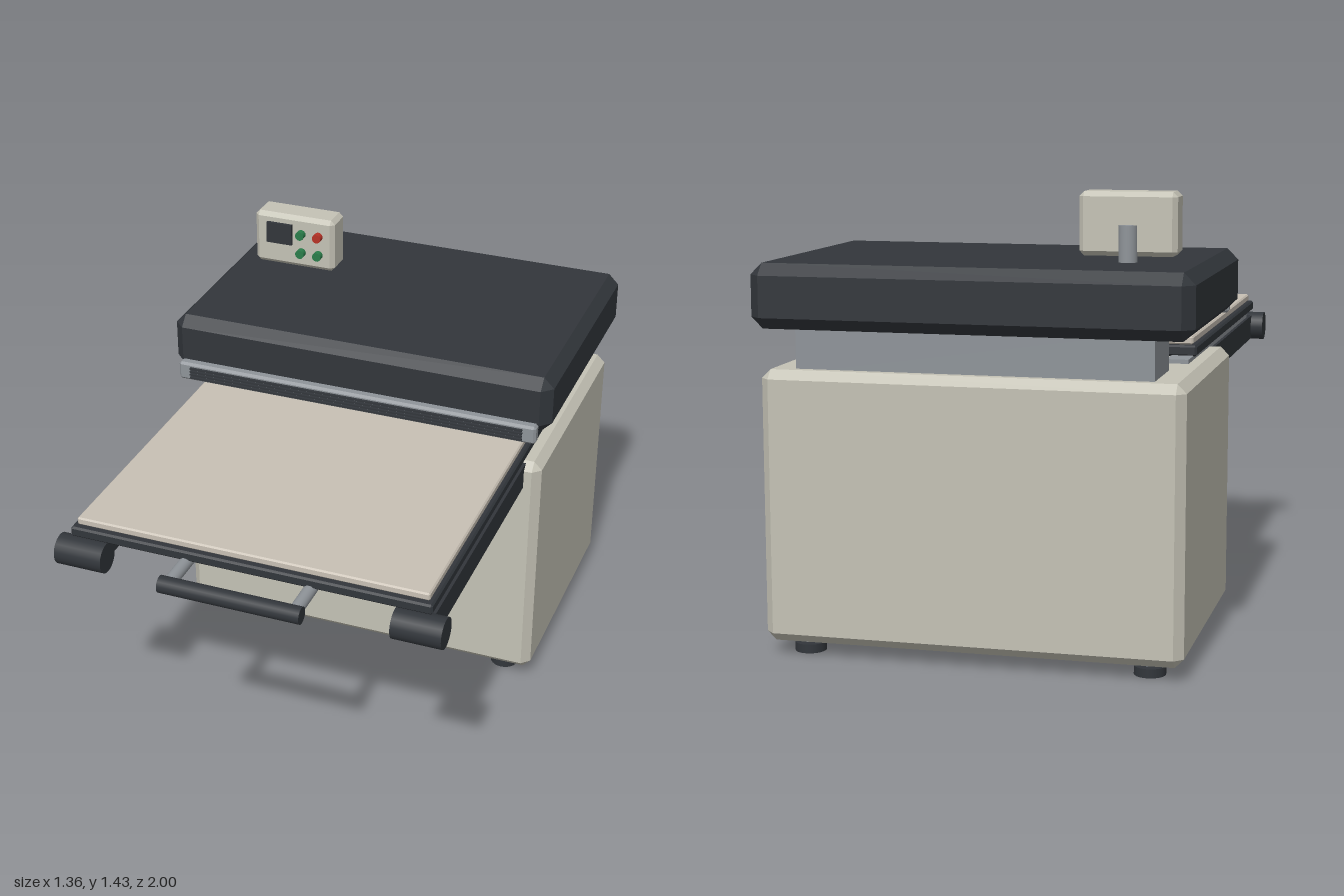
import * as THREE from 'three';
import { ConvexGeometry } from 'three/addons/geometries/ConvexGeometry.js';

const paint = (color) => new THREE.MeshStandardMaterial({ color });
const beige = paint(0xc4c2b5), cream = paint(0xc8c0b4), dark = paint(0x32363b);
const steel = paint(0x8f9499), green = paint(0x2a7d4a), red = paint(0xb83226);

export function createModel() {
  const model = new THREE.Group();
  model.name = 'heatPress';

  const add = (name, geometry, material, x, y, z) => {
    const mesh = new THREE.Mesh(geometry, material);
    mesh.name = name;
    mesh.position.set(x, y, z);
    model.add(mesh);
    return mesh;
  };

  // Box given by its limits; c > 0 chamfers every edge
  const box = (name, material, [x0, x1], [y0, y1], [z0, z1], c = 0) => {
    const w = x1 - x0, h = y1 - y0, d = z1 - z0;
    let geometry = new THREE.BoxGeometry(w, h, d);
    if (c) {
      const points = [];
      for (const i of [-1, 1]) for (const j of [-1, 1]) for (const k of [-1, 1]) {
        const a = w / 2, b = h / 2, e = d / 2;
        points.push(
          new THREE.Vector3(i * a, j * (b - c), k * (e - c)),
          new THREE.Vector3(i * (a - c), j * b, k * (e - c)),
          new THREE.Vector3(i * (a - c), j * (b - c), k * e));
      }
      geometry = new ConvexGeometry(points);
    }
    return add(name, geometry, material, (x0 + x1) / 2, (y0 + y1) / 2, (z0 + z1) / 2);
  };

  // Cylinder along a chosen axis
  const rod = (name, material, r, length, axis, x, y, z, sides = 24) => {
    const geometry = new THREE.CylinderGeometry(r, r, length, sides);
    if (axis === 'x') geometry.rotateZ(Math.PI / 2);
    if (axis === 'z') geometry.rotateX(Math.PI / 2);
    return add(name, geometry, material, x, y, z);
  };

  // Cabinet and levelling feet
  box('cabinet', beige, [-0.655, 0.655], [0.045, 0.895], [-0.98, -0.1], 0.028);
  for (const x of [-0.54, 0.54]) for (const z of [-0.2, -0.88]) {
    rod('footPad', dark, 0.049, 0.028, 'y', x, 0.014, z);
    rod('footStem', steel, 0.021, 0.04, 'y', x, 0.04, z);
  }

  // Press head on its rear column
  box('column', steel, [-0.555, 0.555], [0.88, 1.04], [-0.925, -0.695]);
  box('pressHead', dark, [-0.68, 0.68], [1.02, 1.22], [-1, -0.09], 0.036);

  // Ribbed bar along the head's front edge
  box('frontBar', steel, [-0.645, 0.645], [1.003, 1.068], [-0.092, -0.053], 0.008);
  for (let i = 0; i < 4; i++) {
    const y = 1.018 + i * 0.0115;
    box('barRib', dark, [-0.6, 0.6], [y - 0.003, y + 0.003], [-0.06, -0.044]);
  }

  // Sliding tray with its pad
  box('tray', dark, [-0.6, 0.6], [0.905, 0.94], [-0.455, 0.85], 0.006);
  box('pad', cream, [-0.585, 0.585], [0.94, 0.966], [-0.435, 0.83], 0.005);

  // Support arms, slide rails and rollers
  for (const s of [-1, 1]) {
    const span = (a, b) => (s > 0 ? [a, b] : [-b, -a]);
    box('supportArm', dark, span(0.51, 0.6), [0.803, 0.888], [-0.12, 0.84]);
    box('slideRail', steel, span(0.52, 0.59), [0.885, 0.908], [-0.545, 0.75]);
    rod('roller', dark, 0.051, 0.162, 'x', s * 0.562, 0.847, 0.842);
    rod('handleStem', steel, 0.021, 0.15, 'z', s * 0.207, 0.895, 0.898);
  }
  rod('handleGrip', dark, 0.028, 0.466, 'x', 0, 0.893, 0.972);

  // Control box on its post
  rod('controlPost', steel, 0.029, 0.13, 'y', -0.425, 1.267, -0.687);
  box('controlBox', beige, [-0.575, -0.272], [1.237, 1.432], [-0.69, -0.58], 0.015);
  box('screen', dark, [-0.526, -0.43], [1.323, 1.4], [-0.585, -0.569]);
  for (const x of [-0.395, -0.33]) for (const y of [1.298, 1.369]) {
    const isStop = x > -0.35 && y > 1.33;
    rod(isStop ? 'stopButton' : 'button', isStop ? red : green, 0.016, 0.028, 'z', x, y, -0.571);
  }

  return model;
}
